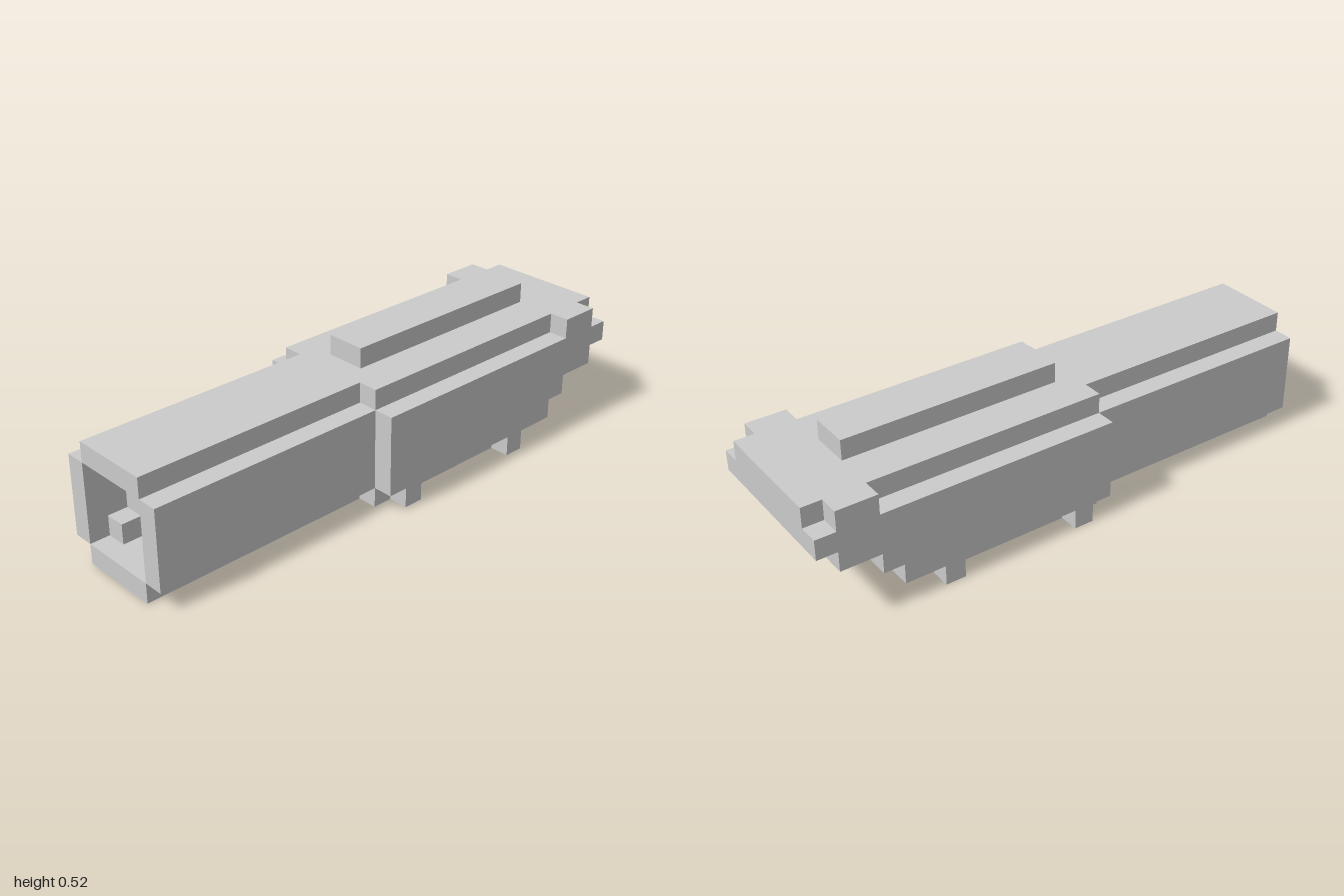
import * as THREE from 'three';

const U = 2 / 27; // one grid cell; the model is 27 cells long
const material = new THREE.MeshStandardMaterial({ color: 0xcccccc, flatShading: true });

export function createModel() {
  const model = new THREE.Group();

  // Box between two corners in cells: x from the rear end, y from the ground, z from the centre line
  const block = (name, x0, x1, y0, y1, z0, z1) => {
    const geo = new THREE.BoxGeometry((x1 - x0) * U, (y1 - y0) * U, (z1 - z0) * U);
    geo.translate(((x0 + x1) / 2 - 13.5) * U, ((y0 + y1) / 2) * U, ((z0 + z1) / 2) * U);
    const mesh = new THREE.Mesh(geo, material);
    mesh.name = name;
    model.add(mesh);
  };
  const centred = (name, x0, x1, y0, y1, half) => block(name, x0, x1, y0, y1, -half, half);

  // Front hull with a stepped nose, extruded across the full width
  const steps = [[12, 1], [23, 1], [23, 2], [24, 2], [24, 3], [26, 3], [26, 4], [27, 4], [27, 5], [12, 5]];
  const profile = new THREE.Shape(steps.map(([x, y]) => new THREE.Vector2((x - 13.5) * U, y * U)));
  const hullGeo = new THREE.ExtrudeGeometry(profile, { depth: 8 * U, bevelEnabled: false });
  hullGeo.translate(0, 0, -4 * U);
  const hull = new THREE.Mesh(hullGeo, material);
  hull.name = 'frontHull';
  model.add(hull);

  // Top deck, wider just behind the nose, and the raised bar on it
  centred('frontDeck', 12, 24, 5, 6, 3);
  centred('wideDeck', 24, 26, 5, 6, 4);
  centred('noseDeck', 26, 27, 5, 6, 3);
  centred('topBar', 13, 24, 6, 7, 1);

  // Underside: belly plate between two cross slots
  centred('bellyPlate', 14, 20, 0, 1, 3);
  centred('bellyRib', 12, 13, 0, 1, 3);

  // Rear body with narrower roof and floor
  centred('rearCore', 2, 12, 1, 5, 3);
  centred('rearRoof', 0, 12, 5, 6, 2);
  centred('rearFloor', 0, 12, 0, 1, 2);

  for (const s of [-1, 1]) {
    const side = (name, x0, x1, y0, y1, a, b) =>
      block(name, x0, x1, y0, y1, Math.min(s * a, s * b), Math.max(s * a, s * b));
    // Walls and corner fillers of the open rear end
    side('rearWall', 0, 2, 1, 5, 2, 3);
    side('lowerCornerBlock', 1, 2, 1, 2, 1, 2);
    side('upperCornerBlock', 1, 2, 4, 5, 1, 2);
    // Small feet at the ends of the slots
    side('rearFoot', 13, 14, 0, 1, 3, 4);
    side('frontFoot', 20, 21, 0, 1, 3, 4);
  }
  return model;
}
